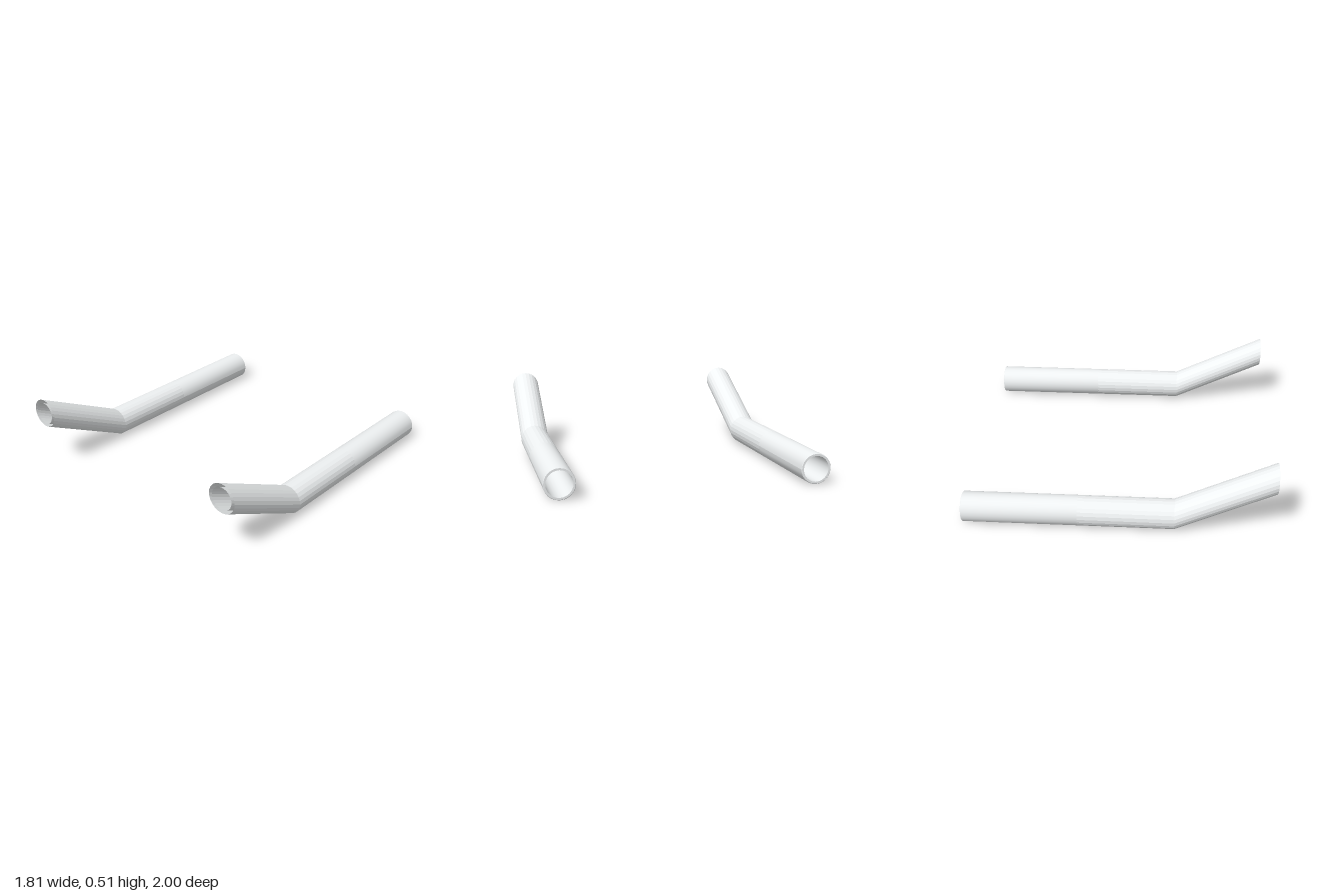
import * as THREE from 'three';

const SIDES = 24, R = 0.0985, INNER = 0.075, BACK_INNER = 0.083;
const LOW = 0.1, HIGH = 0.412, BEND = 0.37, MID = -0.25, BEVEL = 0.003;

// Skin through upright circular sections, each given as [z, centre y, radius]
function loft(name, sections, flatShading) {
  const pos = [], index = [], row = SIDES + 1;
  for (const [z, y, r] of sections) {
    for (let i = 0; i <= SIDES; i++) {
      const a = (i / SIDES) * Math.PI * 2;
      pos.push(r * Math.cos(a), y + r * Math.sin(a), z);
    }
  }
  for (let s = 0; s < sections.length - 1; s++) {
    for (let i = 0; i < SIDES; i++) {
      const a = s * row + i, b = a + row;
      index.push(a, a + 1, b, a + 1, b + 1, b);
    }
  }
  const geo = new THREE.BufferGeometry();
  geo.setAttribute('position', new THREE.Float32BufferAttribute(pos, 3));
  geo.setIndex(index);
  geo.computeVertexNormals();
  const material = new THREE.MeshStandardMaterial({ color: 0xeef1f2, flatShading, side: THREE.DoubleSide });
  const mesh = new THREE.Mesh(geo, material);
  mesh.name = name;
  return mesh;
}

function makePipe(name) {
  const pipe = new THREE.Group();
  pipe.name = name;
  pipe.add(
    // outer wall, from the back end to the raised front end
    loft('rearSleeve', [[-1 + BEVEL, LOW, R], [MID, LOW, R]], false),
    loft('middleSection', [[MID, LOW, R], [BEND, LOW, R]], true),
    loft('raisedSection', [[BEND, LOW, R], [1, HIGH, R]], true),
    // back rim with a fine bevel; the front end is left open between the walls
    loft('backRim', [[-1, LOW, BACK_INNER], [-1, LOW, R - BEVEL], [-1 + BEVEL, LOW, R]], true),
    // bore, facing inward
    loft('frontBore', [[1, HIGH, INNER], [BEND, LOW, INNER]], true),
    loft('rearBore', [[BEND, LOW, INNER], [MID, LOW, BACK_INNER], [-1, LOW, BACK_INNER]], false),
  );
  return pipe;
}

export function createModel() {
  const model = new THREE.Group();
  model.name = 'bentPipes';
  for (const [name, x] of [['leftPipe', 0.805], ['rightPipe', -0.805]]) {
    const pipe = makePipe(name);
    pipe.position.x = x;
    model.add(pipe);
  }
  return model;
}
